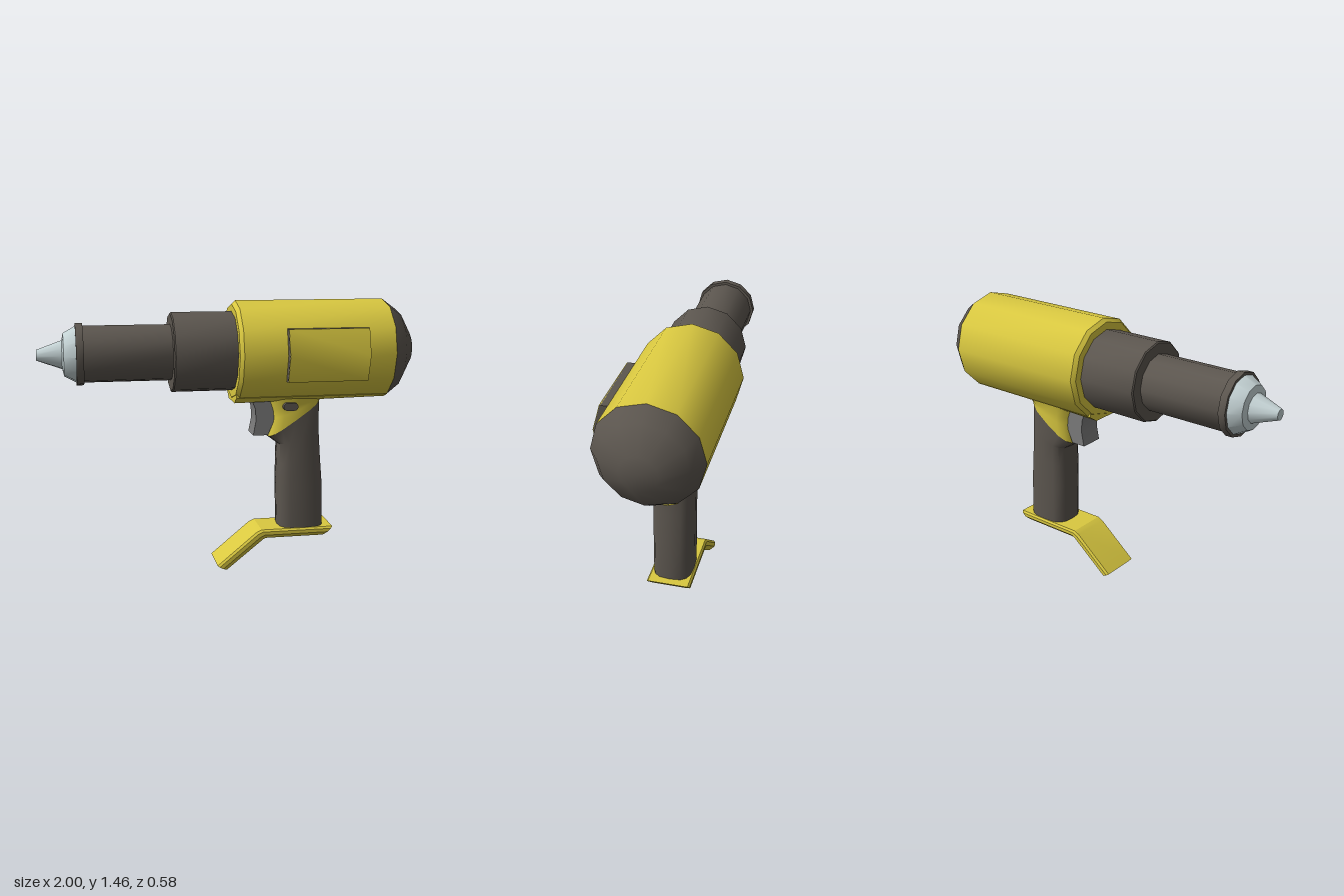
import * as THREE from 'three';
import { toCreasedNormals } from 'three/addons/utils/BufferGeometryUtils.js';

const mat = (color) => new THREE.MeshStandardMaterial({ color });
const yellow = mat(0xd9c840);
const dark = mat(0x5c564f);
const steel = mat(0xc4d2d4);
const grey = mat(0x7c7c7c);

const AXIS_Y = 1.194, MID_Z = -0.021;

function add(group, name, geometry, material, crease = 0.6) {
  const mesh = new THREE.Mesh(toCreasedNormals(geometry, crease), material);
  mesh.name = name;
  group.add(mesh);
  return mesh;
}

// Turned part on the barrel axis; profile is [x, radius] from nose to tail
function turned(group, name, profile, material) {
  const geo = new THREE.LatheGeometry(profile.map(([x, r]) => new THREE.Vector2(r, x)), 12);
  geo.rotateZ(-Math.PI / 2).translate(0, AXIS_Y, MID_Z);
  return add(group, name, geo, material);
}

// Closed skin over a row of equal rings of [x, y, z], capped at both ends
function loft(rings) {
  const n = rings[0].length, tri = [];
  const mean = (ring) => [0, 1, 2].map((k) => ring.reduce((s, p) => s + p[k], 0) / n);
  const first = rings[0], last = rings[rings.length - 1];
  for (let i = 0; i < n; i++) {
    const j = (i + 1) % n;
    for (let r = 0; r < rings.length - 1; r++) {
      const a = rings[r], b = rings[r + 1];
      tri.push([a[i], a[j], b[j]], [a[i], b[j], b[i]]);
    }
    tri.push([mean(first), first[j], first[i]], [mean(last), last[i], last[j]]);
  }
  // Turn the skin outward when its signed volume is negative
  const v = (p) => new THREE.Vector3(...p);
  const volume = tri.reduce((s, [a, b, c]) => s + v(a).dot(v(b).cross(v(c))), 0);
  if (volume < 0) tri.forEach((t) => t.reverse());
  const geo = new THREE.BufferGeometry();
  geo.setAttribute('position', new THREE.Float32BufferAttribute(tri.flat(2), 3));
  return geo;
}

// Rounded grip section spanning a front point and a back point
function gripRing([xf, yf, xb, yb, half = 0.104]) {
  const ring = [], N = 16;
  const soft = (t) => Math.sign(t) * Math.pow(Math.abs(t), 0.65);
  for (let i = 0; i < N; i++) {
    const a = (i / N) * Math.PI * 2;
    const t = (1 - soft(Math.cos(a))) / 2;
    ring.push([xf + (xb - xf) * t, yf + (yb - yf) * t, MID_Z + half * soft(Math.sin(a))]);
  }
  return ring;
}

// Flat outline extruded by depth, centred on z
function slab(points, depth, z) {
  const shape = new THREE.Shape(points.map(([x, y]) => new THREE.Vector2(x, y)));
  return new THREE.ExtrudeGeometry(shape, { depth, bevelEnabled: false }).translate(0, 0, z - depth / 2);
}

export function createModel() {
  const g = new THREE.Group();
  g.name = 'powerTool';

  // Barrel, nose to tail
  turned(g, 'nozzle', [[-1, 0], [-1, 0.028], [-0.87, 0.075], [-0.862, 0.112], [-0.8, 0.147], [-0.79, 0.147]], steel);
  turned(g, 'nozzleCollar', [[-0.8, 0], [-0.8, 0.162], [-0.762, 0.162], [-0.762, 0.14]], dark);
  turned(g, 'barrel', [[-0.77, 0.148], [-0.3, 0.148]], dark);
  turned(g, 'sleeve', [[-0.308, 0.13], [-0.308, 0.205], [-0.302, 0.211], [0.03, 0.211]], dark);
  turned(g, 'housing', [[0.02, 0.2], [0.02, 0.25], [0.04, 0.268], [0.85, 0.268]], yellow);
  turned(g, 'rearCap', [[0.85, 0.268], [0.925, 0.213], [1, 0.092], [1, 0]], dark);

  // Flat underside of the housing
  const keel = (x, y) => [[x, 0.98, -0.135], [x, 0.96, -0.135], [x, y, -0.085],
    [x, y, 0.085], [x, 0.96, 0.135], [x, 0.98, 0.135]].map(([a, b, c]) => [a, b, c + MID_Z]);
  add(g, 'housingKeel', loft([keel(0.022, 0.926), keel(0.85, 0.941)]), yellow);

  // Raised side panel that follows the housing, dark edge and yellow face
  const panelRing = (x, zIn, lift) => [[x, 1.33, zIn], [x, 1.33, 0.247 + lift], [x, AXIS_Y, 0.285 + lift],
    [x, 1.057, 0.247 + lift], [x, 1.057, zIn]];
  add(g, 'sidePanel', loft([panelRing(0.268, 0.19, 0), panelRing(0.697, 0.19, 0)]), dark, 0.3);
  add(g, 'sidePanelFace', loft([panelRing(0.269, 0.243, 0.003), panelRing(0.696, 0.243, 0.003)]), yellow, 0.6);

  // Grip, cut along a diagonal where the yellow neck begins
  const seam = [0.215, 0.728, 0.5, 0.925];
  add(g, 'grip', loft([
    [0.278, 0.21, 0.53, 0.21], [0.27, 0.45, 0.525, 0.45], [0.272, 0.58, 0.51, 0.62],
    [0.274, 0.685, 0.5, 0.76], seam,
  ].map(gripRing)), dark, 0.8);
  add(g, 'gripNeck', loft([
    seam, [0.228, 0.83, 0.502, 0.928], [0.222, 0.88, 0.51, 0.935], [0.2, 0.96, 0.535, 0.96, 0.12],
  ].map(gripRing)), yellow, 0.8);

  // Trigger and side button
  add(g, 'trigger', slab([[0.115, 0.95], [0.14, 0.885], [0.143, 0.82], [0.128, 0.742],
    [0.21, 0.742], [0.25, 0.84], [0.25, 0.95]], 0.13, MID_Z), grey);
  const button = new THREE.CapsuleGeometry(0.021, 0.038, 1, 10);
  button.dispose();
  const pill = new THREE.Shape();
  pill.absarc(0.339, 0.904, 0.021, -Math.PI / 2, Math.PI / 2);
  pill.absarc(0.301, 0.904, 0.021, Math.PI / 2, Math.PI * 1.5);
  add(g, 'sideButton', new THREE.ExtrudeGeometry(pill, { depth: 0.07, bevelEnabled: false, curveSegments: 6 })
    .translate(0, 0, 0.038), dark);

  // Bent foot plate with chamfered lower edges
  const footRing = ([xt, yt, xb, yb]) => {
    const at = (t, z) => [xt + (xb - xt) * t, yt + (yb - yt) * t, MID_Z + z];
    return [at(0, -0.106), at(0.2, -0.115), at(0.55, -0.115), at(1, -0.09),
      at(1, 0.09), at(0.55, 0.115), at(0.2, 0.115), at(0, 0.106)];
  };
  add(g, 'footPlate', loft([
    [-0.075, 0.03, -0.02, 0.0], [0.14, 0.208, 0.185, 0.165], [0.17, 0.222, 0.2, 0.17], [0.57, 0.222, 0.52, 0.17],
  ].map(footRing)), yellow, 0.4);

  return g;
}
